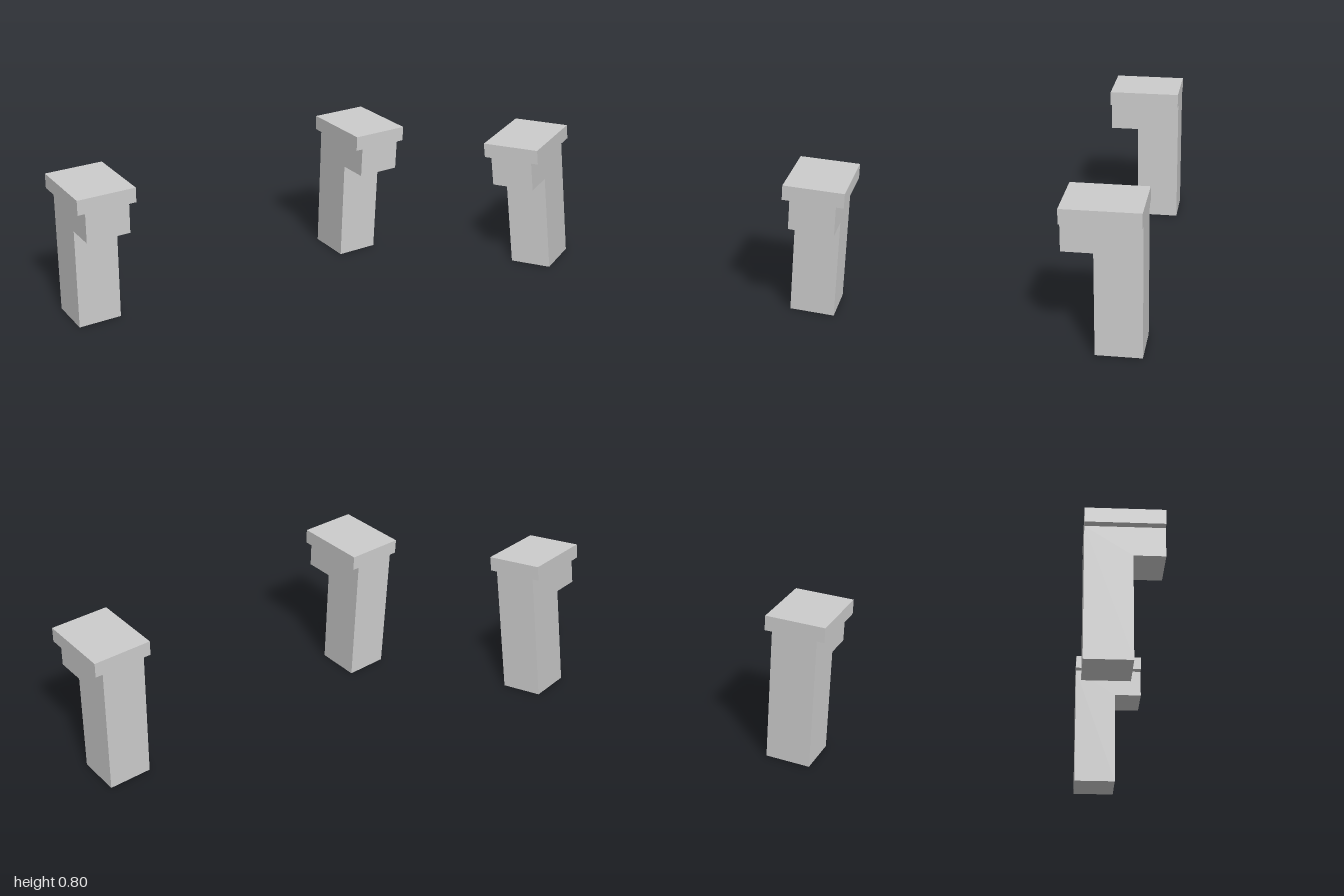
import * as THREE from 'three';

const material = new THREE.MeshStandardMaterial({ color: 0xcccccc, flatShading: true });
const WIDTH = 0.24;

// Post with a bracket stepping forward at the top: L-shaped side profile (z, y) extruded across x
function createPostGeometry() {
  const profile = new THREE.Shape([
    [-0.2, 0], [0.04, 0], [0.04, 0.56], [0.2, 0.56], [0.2, 0.72], [-0.2, 0.72],
  ].map(([z, y]) => new THREE.Vector2(z, y)));
  return new THREE.ExtrudeGeometry(profile, { depth: WIDTH, bevelEnabled: false })
    .rotateY(-Math.PI / 2)
    .translate(WIDTH / 2, 0, 0);
}

export function createModel() {
  const model = new THREE.Group();
  model.name = 'pillarPair';

  const postGeometry = createPostGeometry();
  const capGeometry = new THREE.BoxGeometry(0.32, 0.08, 0.4);

  // Two identical pillars, one on each side
  for (const side of [-1, 1]) {
    const pillar = new THREE.Group();
    pillar.name = side > 0 ? 'leftPillar' : 'rightPillar';
    pillar.position.x = side * 0.84;

    const post = new THREE.Mesh(postGeometry, material);
    post.name = 'bracketedPost';

    // Flat slab overhanging the post on both sides
    const cap = new THREE.Mesh(capGeometry, material);
    cap.name = 'capSlab';
    cap.position.y = 0.76;

    pillar.add(post, cap);
    model.add(pillar);
  }
  return model;
}
